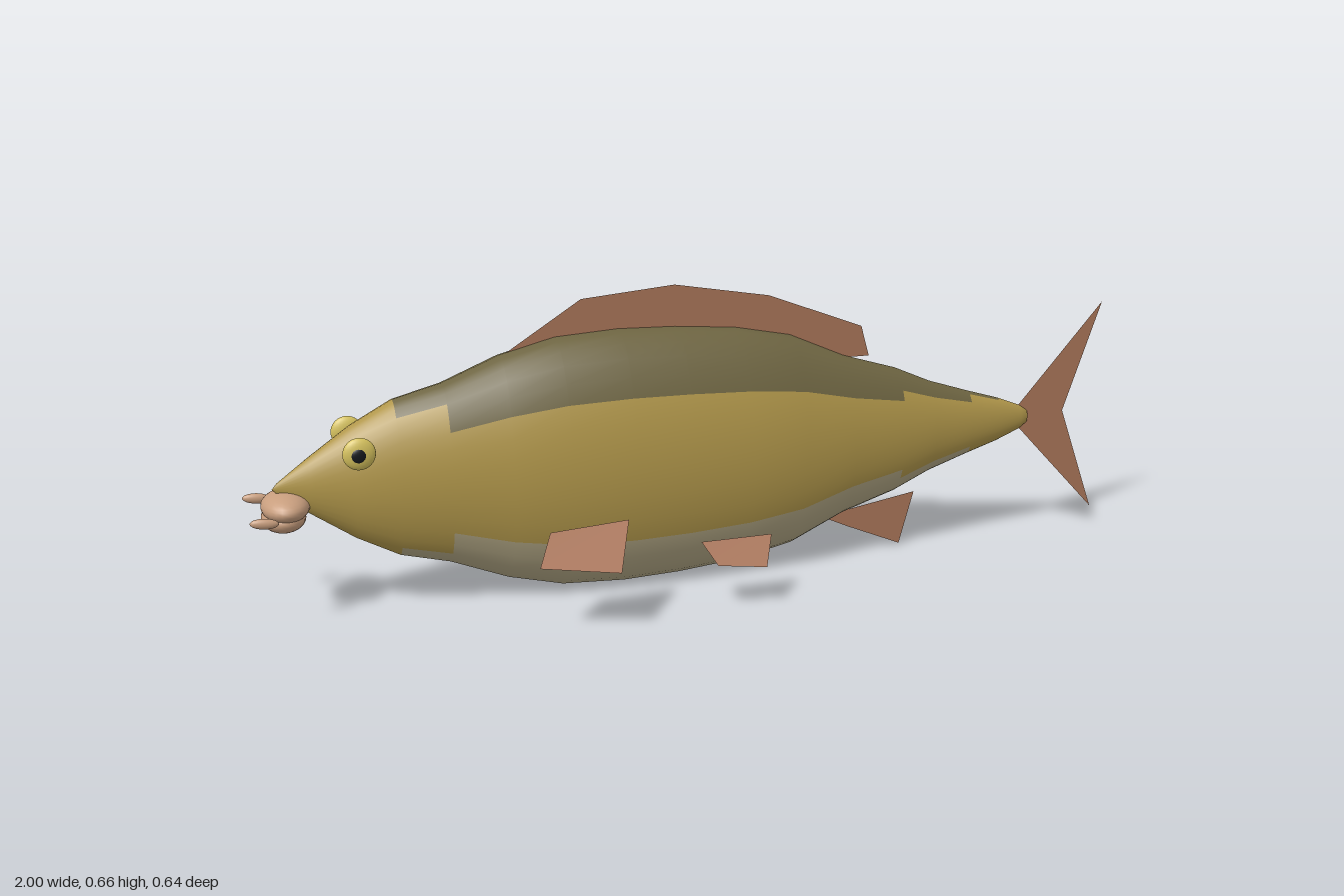
import * as THREE from 'three';

const mat = (color, side = THREE.FrontSide) => new THREE.MeshStandardMaterial({ color, side });

export function createModel() {
  const fish = new THREE.Group();
  fish.name = 'fish';
  const finMat = mat(0xa87458, THREE.DoubleSide);
  const lipMat = mat(0xc89e7e);
  const eyeMat = mat(0xd6c25e);
  const pupilMat = mat(0x15181c);

  const add = (name, geometry, material) => {
    const mesh = new THREE.Mesh(geometry, material);
    mesh.name = name;
    fish.add(mesh);
    return mesh;
  };

  // Body: [position along x, half height], with the lathe axis laid along x
  const midY = 0.285, sides = 32;
  const profile = [
    [-0.945, 0], [-0.935, 0.012], [-0.87, 0.06], [-0.78, 0.122], [-0.69, 0.17], [-0.585, 0.197],
    [-0.46, 0.247], [-0.34, 0.277], [-0.2, 0.285], [-0.07, 0.281], [0.07, 0.269], [0.2, 0.243],
    [0.33, 0.186], [0.46, 0.147], [0.55, 0.108], [0.65, 0.076], [0.73, 0.052], [0.79, 0.029],
    [0.81, 0.015], [0.815, 0],
  ];
  const skin = new THREE.LatheGeometry(profile.map(([x, r]) => new THREE.Vector2(r, x)), sides);
  skin.rotateZ(-Math.PI / 2).scale(1, 1, 0.495).translate(0, midY, 0);

  // Split the skin into back, flanks and belly; the stripes step narrower towards the ends
  const bands = { back: [], flanks: [], belly: [] };
  const index = skin.index.array;
  const position = skin.attributes.position;
  const stripeStart = (x) => {
    if (x < -0.69 || x > 0.73) return 91;
    if (x < -0.585) return 56;
    if (x < 0.46) return 33;
    return x < 0.65 ? 45 : 67;
  };
  for (let t = 0; t < index.length; t += 3) {
    let x = 0, y = 0, z = 0;
    for (let k = 0; k < 3; k++) {
      x += position.getX(index[t + k]) / 3;
      y += (position.getY(index[t + k]) - midY) / 3;
      z += position.getZ(index[t + k]) / 3 / 0.495;
    }
    const angle = THREE.MathUtils.radToDeg(Math.atan2(y, Math.abs(z)));
    const start = stripeStart(x);
    const band = angle > start ? bands.back : angle < -start ? bands.belly : bands.flanks;
    band.push(index[t], index[t + 1], index[t + 2]);
  }
  const bandColors = { back: 0x6e6542, flanks: 0xb0964a, belly: 0xb0a583 };
  for (const name in bands) {
    const geometry = skin.clone();
    geometry.setIndex(bands[name]);
    add(name, geometry, mat(bandColors[name]));
  }

  // Flat fins on the centre plane
  const flatFin = (name, points) => add(name,
    new THREE.ShapeGeometry(new THREE.Shape(points.map(([x, y]) => new THREE.Vector2(x, y)))), finMat);
  flatFin('dorsalFin', [[-0.47, 0.52], [-0.28, 0.64], [-0.07, 0.658], [0.15, 0.62],
    [0.375, 0.535], [0.395, 0.465], [0.33, 0.465]]);
  flatFin('tailFin', [[0.78, 0.305], [1, 0.55], [0.908, 0.29], [1, 0.04], [0.78, 0.27]]);
  flatFin('analFin', [[0.285, 0.09], [0.52, 0.127], [0.485, 0.003], [0.35, 0.06]]);

  // Paired fins, spreading outwards and down
  const pairedFin = (name, corners, s) => {
    const geometry = new THREE.BufferGeometry();
    geometry.setAttribute('position', new THREE.Float32BufferAttribute(
      corners.flatMap(([x, y, z]) => [x, y, z * s]), 3));
    geometry.setIndex(s > 0 ? [0, 1, 2, 0, 2, 3] : [0, 2, 1, 0, 3, 2]);
    geometry.computeVertexNormals();
    add(name, geometry, finMat);
  };

  // Ellipsoid given by centre and half sizes
  const blob = (name, centre, radii, material) => {
    const mesh = add(name, new THREE.SphereGeometry(1, 24, 16), material);
    mesh.position.set(...centre);
    mesh.scale.set(...radii);
    return mesh;
  };

  for (const s of [1, -1]) {
    const side = s > 0 ? 'front' : 'rear';
    pairedFin(side + 'PectoralFin', [[-0.452, 0.15, 0.283], [-0.291, 0.134, 0.32],
      [-0.243, 0.21, 0.214], [-0.414, 0.203, 0.222]], s);
    pairedFin(side + 'PelvicFin', [[-0.06, 0.1, 0.257], [0.045, 0.09, 0.272],
      [0.077, 0.142, 0.214], [-0.083, 0.142, 0.214]], s);
    blob(side + 'Eye', [-0.775, 0.37, 0.09 * s], [0.034, 0.034, 0.014], eyeMat);
    blob(side + 'Pupil', [-0.777, 0.369, 0.1 * s], [0.016, 0.016, 0.006], pupilMat);
    blob(side + 'Barbel', [-0.971, 0.242, 0.089 * s], [0.029, 0.011, 0.009], lipMat).rotation.z = -0.1;
  }

  // Mouth
  blob('upperLip', [-0.92, 0.248, 0], [0.05, 0.031, 0.075], lipMat);
  blob('lowerLip', [-0.925, 0.224, 0], [0.046, 0.03, 0.062], lipMat);

  return fish;
}
